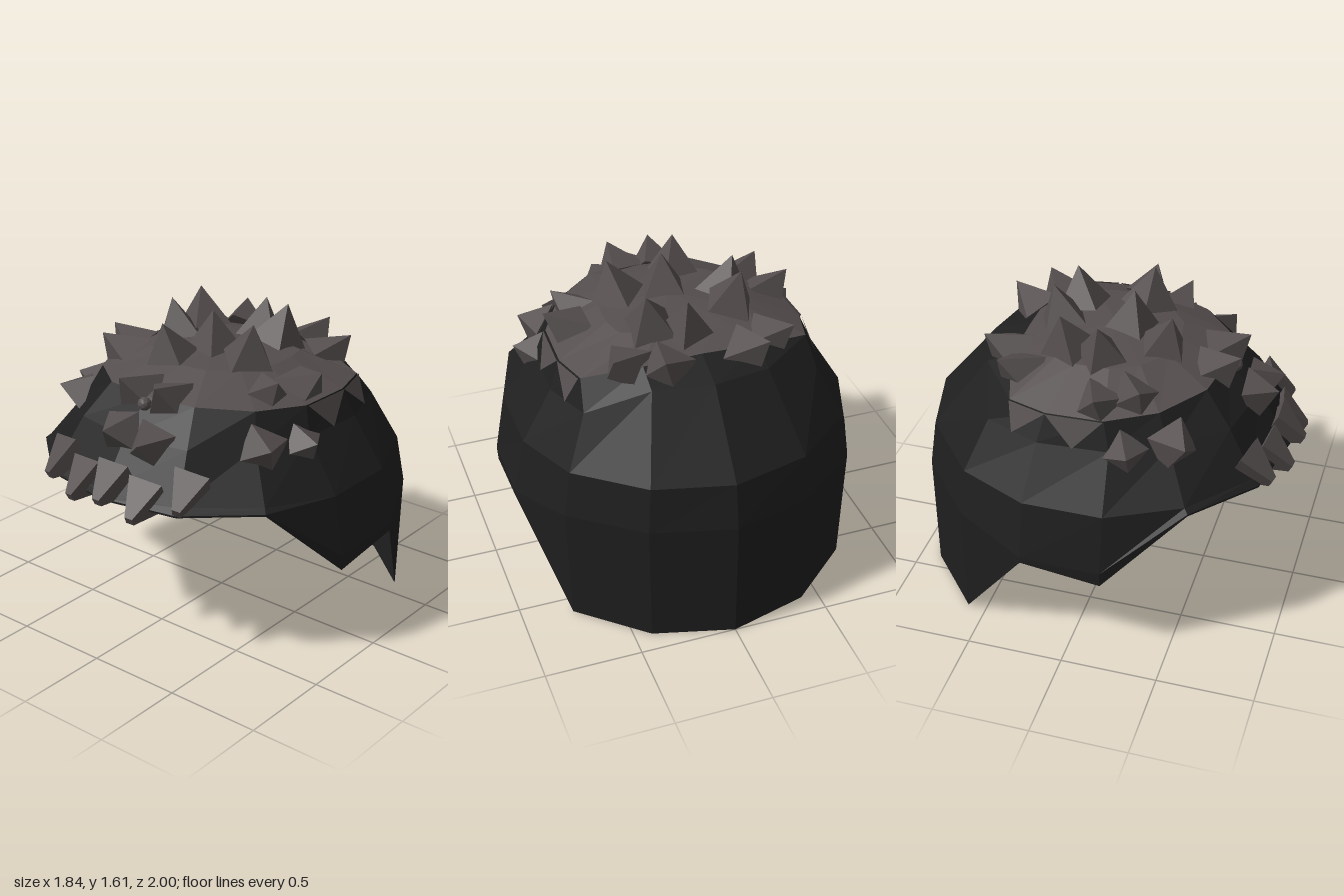
import * as THREE from 'three';

const dark = new THREE.MeshStandardMaterial({ color: 0x1f1f1f, flatShading: true, side: THREE.DoubleSide });
dark.name = 'charcoal shell';
const light = new THREE.MeshStandardMaterial({ color: 0x554e4e, flatShading: true, side: THREE.DoubleSide });
light.name = 'warm grey';

// Half of the shell, front to back; each column runs from hem to crown edge
const columns = [
  [[0, 0.86, 0.93], [0, 0.87, 0.93], [0, 0.9, 0.91], [0, 1.13, 0.75], [0, 1.29, 0.58]],
  [[0.41, 0.86, 0.85], [0.41, 0.87, 0.85], [0.4, 0.9, 0.82], [0.34, 1.13, 0.68], [0.27, 1.29, 0.54]],
  [[0.73, 0.86, 0.57], [0.73, 0.87, 0.57], [0.71, 0.89, 0.55], [0.56, 1.12, 0.43], [0.5, 1.27, 0.36]],
  [[0.91, 0.47, 0.18], [0.915, 0.55, 0.18], [0.86, 0.86, 0.18], [0.68, 1.12, 0.16], [0.63, 1.26, 0.12]],
  [[0.92, 0.53, -0.23], [0.92, 0.56, -0.23], [0.86, 0.86, -0.23], [0.7, 1.12, -0.2], [0.64, 1.26, -0.17]],
  [[0.74, 0, -0.6], [0.76, 0.64, -0.6], [0.72, 0.88, -0.58], [0.61, 1.14, -0.48], [0.59, 1.27, -0.37]],
  [[0.41, 0, -0.89], [0.42, 0.66, -0.89], [0.4, 0.9, -0.86], [0.3, 1.27, -0.59], [0.3, 1.33, -0.46]],
  [[0, 0, -1], [0, 0.66, -1], [0, 0.9, -0.96], [0, 1.28, -0.65], [0, 1.34, -0.46]],
];
const mirror = ([x, y, z]) => [-x, y, z];
const around = [...columns, ...columns.slice(1, -1).reverse().map((c) => c.map(mirror))];

function geometryFrom(points, index) {
  const g = new THREE.BufferGeometry();
  g.setAttribute('position', new THREE.Float32BufferAttribute(points.flat(), 3));
  g.setIndex(index);
  g.computeVertexNormals();
  return g;
}

// Joins neighbouring closed-loop columns into a skin
function skin(cols) {
  const rows = cols[0].length, index = [];
  for (let i = 0; i < cols.length; i++) {
    const a = i * rows, b = ((i + 1) % cols.length) * rows;
    for (let j = 0; j < rows - 1; j++) {
      index.push(a + j, b + j, b + j + 1, a + j, b + j + 1, a + j + 1);
    }
  }
  return geometryFrom(cols.flat(), index);
}

function add(parent, geometry, material, name) {
  const m = new THREE.Mesh(geometry, material);
  m.name = name;
  parent.add(m);
  return m;
}

// Four-sided spike with its tip at a given point, pointing along dir
function spike(parent, tip, dir, radius, height, tipRadius, turn, name) {
  const g = new THREE.CylinderGeometry(tipRadius, radius, height, 4, 1);
  g.translate(0, -height / 2, 0);
  g.rotateY(turn);
  const m = add(parent, g, light, name);
  m.position.set(...tip);
  m.quaternion.setFromUnitVectors(new THREE.Vector3(0, 1, 0), dir.normalize());
}

export function createModel() {
  const model = new THREE.Group();
  model.name = 'spikedHelmet';

  add(model, skin(around), dark, 'shell');

  // Crown: from the shell's upper edge to the apex
  const crown = around.map((c) => {
    const [x, y, z] = c[4];
    return [[x, y, z], [x * 0.58, 1.385, z * 0.58], [0, 1.43, 0]];
  });
  add(model, skin(crown), light, 'crown');

  // Pointed crown flaps lying against each side of the shell
  for (const s of [-1, 1]) {
    for (const i of [3, 4]) {
      const [a, b] = [columns[i], columns[i + 1]];
      const point = a[3].map((v, k) => (v + b[3][k]) / 2);
      const corners = [a[4], point, b[4]].map(([x, y, z]) => [s * (x + 0.012), y, z]);
      add(model, geometryFrom(corners, s > 0 ? [0, 1, 2] : [0, 2, 1]), light, 'crownFlap');
    }
  }

  // Small stud above the brow
  const stud = add(model, new THREE.IcosahedronGeometry(0.035, 1), light, 'stud');
  stud.position.set(0.02, 1.27, 0.62);

  const spikes = new THREE.Group();
  spikes.name = 'spikes';
  model.add(spikes);

  // Tall upright spikes on top
  const top = [
    [-0.3, 1.6, -0.2], [-0.33, 1.58, 0], [-0.12, 1.57, 0.32], [0.02, 1.61, 0.09], [0.3, 1.6, 0.12],
    [0.03, 1.57, -0.34], [0.22, 1.59, -0.27],
  ];
  top.forEach(([x, y, z], i) => {
    spike(spikes, [x, y, z], new THREE.Vector3(x * 0.5, 0.65, z * 0.5), 0.15, 0.21, 0, 0.4 + i * 1.1, 'topSpike');
  });

  // Spikes leaning outward around the crown edge
  const edge = [
    [0.24, 1.43, -0.62], [0.46, 1.41, -0.5], [-0.3, 1.43, -0.6], [-0.48, 1.41, -0.47],
    [-0.67, 1.39, 0.08], [-0.57, 1.41, 0.28], [0.66, 1.41, 0.04], [0.56, 1.4, 0.26],
    [-0.1, 1.39, 0.67], [0.13, 1.39, 0.67],
  ];
  edge.forEach(([x, y, z], i) => {
    spike(spikes, [x, y, z], new THREE.Vector3(x, 0.58, z), 0.15, 0.2, 0, i * 1.7, 'edgeSpike');
  });

  // Shorter spikes on the temples and brow
  const brow = [
    [-0.76, 1.15, 0.27], [-0.65, 1.18, 0.53], [0.78, 1.13, 0.23], [0.69, 1.15, 0.48],
    [-0.04, 1.19, 0.86], [0.17, 1.16, 0.85],
  ];
  brow.forEach(([x, y, z], i) => {
    spike(spikes, [x, y, z], new THREE.Vector3(x, 0.3, z), 0.14, 0.15, 0, 0.5 + i * 1.3, 'browSpike');
  });

  // Blunt row along the front lip, leaning forward and down
  const lip = [[-0.37, 0.88, 0.91], [-0.17, 0.84, 0.97], [0.03, 0.88, 0.99], [0.22, 0.83, 0.97], [0.42, 0.89, 0.86]];
  lip.forEach((t) => {
    spike(spikes, t, new THREE.Vector3(t[0] * 0.4, -0.45, 0.85), 0.13, 0.19, 0.03, Math.PI / 4, 'lipSpike');
  });

  return model;
}
